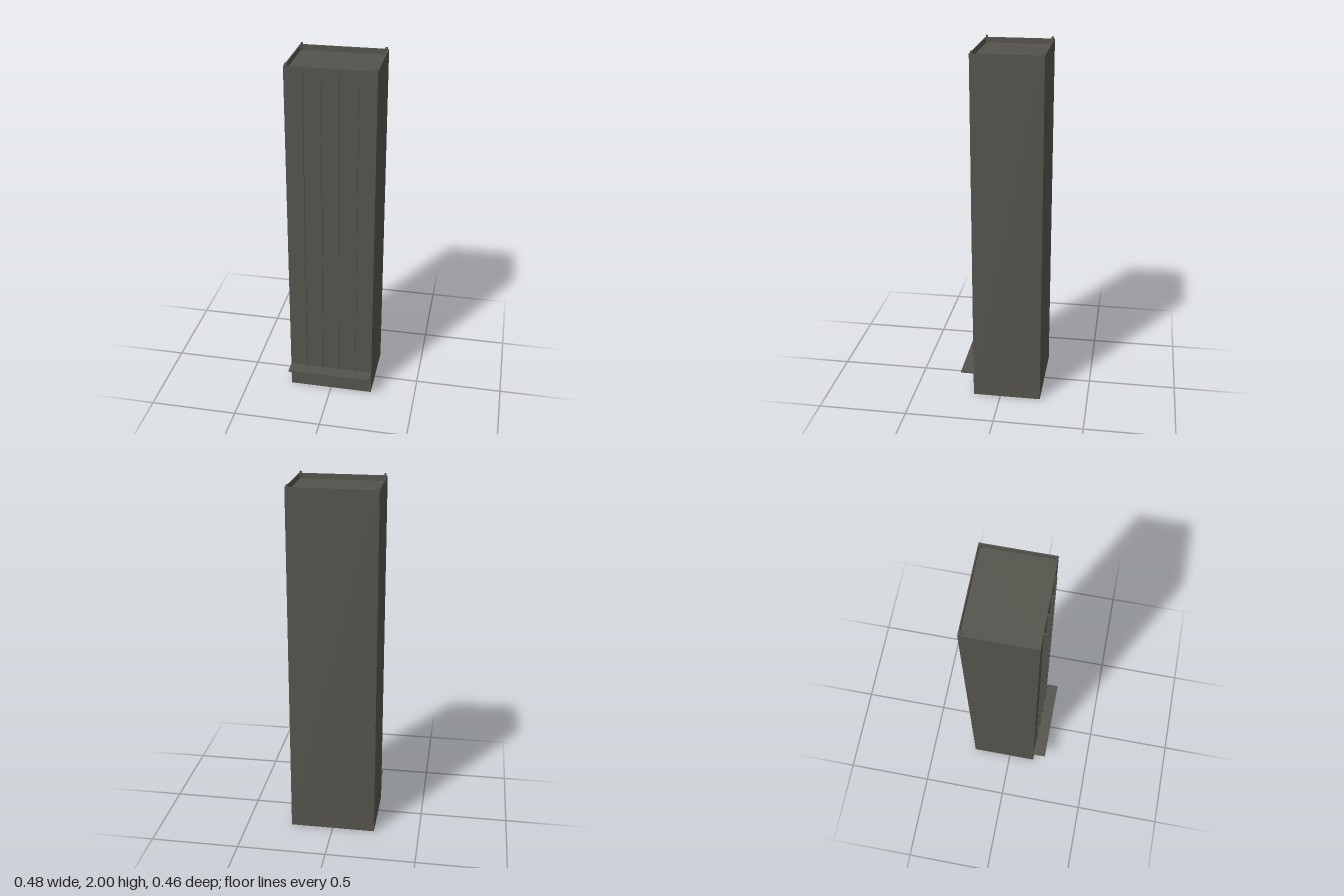
import * as THREE from 'three';

const HALF_W = 0.242, BACK = -0.23, FRONT = 0.156, RIM = 1.988;
const WALL = 0.006, FLOOR = 1.958;

// Rectangular ring at height y, inset from the outer walls
function ring(y, inset) {
  const x = HALF_W - inset, f = FRONT - inset, b = BACK + inset;
  return [[-x, y, f], [x, y, f], [x, y, b], [-x, y, b]];
}

// Loft through rings, closed at the last one and open at the first
function loft(rings) {
  const pos = [];
  const quad = (a, b, c, d) => pos.push(...a, ...b, ...c, ...a, ...c, ...d);
  for (let r = 0; r < rings.length - 1; r++) {
    for (let i = 0; i < 4; i++) {
      const j = (i + 1) % 4;
      quad(rings[r][i], rings[r][j], rings[r + 1][j], rings[r + 1][i]);
    }
  }
  quad(...rings[rings.length - 1]);
  const geo = new THREE.BufferGeometry();
  geo.setAttribute('position', new THREE.Float32BufferAttribute(pos, 3));
  geo.computeVertexNormals();
  return geo;
}

export function createModel() {
  const model = new THREE.Group();
  model.name = 'tower';
  const stone = new THREE.MeshStandardMaterial({ color: 0x55534c });
  const shellMat = new THREE.MeshStandardMaterial({ color: 0x55534c, side: THREE.DoubleSide });

  function add(name, geo, mat = stone) {
    const mesh = new THREE.Mesh(geo, mat);
    mesh.name = name;
    model.add(mesh);
    return mesh;
  }
  function box(name, w, h, d, x, y, z) {
    add(name, new THREE.BoxGeometry(w, h, d)).position.set(x, y, z);
  }

  // Hollow shell, open below, with a parapet around the sunken roof
  add('towerShell', loft([ring(0, 0), ring(RIM, 0), ring(RIM, WALL), ring(FLOOR, WALL)]), shellMat);

  // Small posts inside the four roof corners
  for (const sx of [-1, 1]) {
    for (const z of [BACK + 0.0115, FRONT - 0.0115]) {
      box('cornerPost', 0.011, 2 - FLOOR, 0.011, sx * 0.2305, (2 + FLOOR) / 2, z);
    }
  }

  // Vertical fins on the front
  for (let i = 0; i < 4; i++) {
    box('frontFin', 0.008, 1.82, 0.011, -0.146 + i * 0.0967, 1.05, FRONT + 0.0053);
  }

  // Entrance canopy
  box('canopy', HALF_W * 2, 0.008, 0.074, 0, 0.14, 0.193);
  return model;
}
